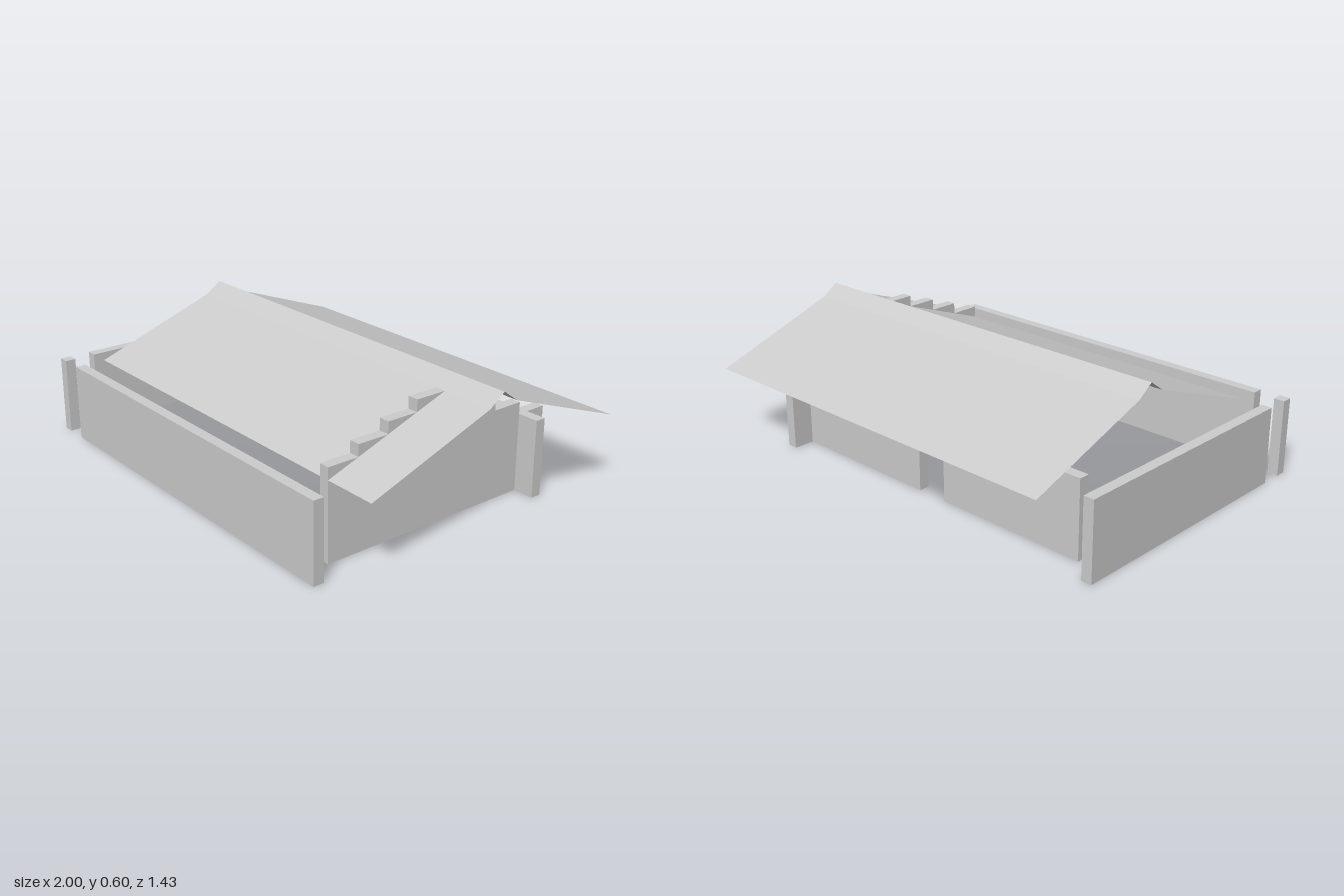
import * as THREE from 'three';

const U = 1 / 7;        // building grid
const T = U / 3;        // wall thickness
const H = 2.4 * U;      // wall height
const STEP = 0.0514;    // gable step height

export function createModel() {
  const model = new THREE.Group();
  const wallMat = new THREE.MeshStandardMaterial({ color: 0xcccccc, flatShading: true });
  const roofMat = new THREE.MeshStandardMaterial({ color: 0xcccccc, flatShading: true, side: THREE.DoubleSide });

  const add = (name, geometry, material) => {
    const mesh = new THREE.Mesh(geometry, material);
    mesh.name = name;
    model.add(mesh);
    return mesh;
  };

  // Full-height wall panel standing on the ground
  const wall = (name, x0, x1, z0, z1) =>
    add(name, new THREE.BoxGeometry(x1 - x0, H, z1 - z0), wallMat)
      .position.set((x0 + x1) / 2, H / 2, (z0 + z1) / 2);

  wall('frontWall', -6 * U, 6 * U, 5 * U - T, 5 * U);
  wall('cornerPost', -1, -1 + T, 5 * U - T, 5 * U);
  wall('sideWall', -1, -1 + T, -4 * U, 4 * U);
  // Back wall, split by a doorway
  wall('backWallLong', -6 * U, -U, -3 * U - T, -3 * U);
  wall('backWallShort', 0, 6 * U, -3 * U - T, -3 * U);

  // Stepped gable wall: shape x is -z of the model
  const gable = new THREE.Shape();
  gable.moveTo(-4 * U, 0);
  const levels = [1, 2, 3, 4, 3, 2, 1, 0];
  levels.forEach((level, i) => {
    const y = H + level * STEP;
    gable.lineTo((i - 4) * U, y);
    gable.lineTo((i - 3) * U, y);
  });
  gable.lineTo(4 * U, 0);
  gable.closePath();
  const gableGeo = new THREE.ExtrudeGeometry(gable, { depth: T, bevelEnabled: false });
  gableGeo.rotateY(Math.PI / 2);
  add('steppedGableWall', gableGeo, wallMat).position.x = 5 * U;

  // Thin roof: two slopes with a steeper ridge strip on each
  const profile = [
    [4 * U, H], [0, H + 4 * STEP], [-U / 2, H + 5 * STEP],
    [-U, H + 4 * STEP], [-5 * U, H],
  ];
  const names = ['frontRoofSlope', 'frontRidgeStrip', 'backRidgeStrip', 'backRoofSlope'];
  const x0 = -6 * U, x1 = 1;
  names.forEach((name, i) => {
    const [za, ya] = profile[i], [zb, yb] = profile[i + 1];
    const geo = new THREE.BufferGeometry();
    geo.setAttribute('position', new THREE.Float32BufferAttribute(
      [x0, ya, za, x1, ya, za, x1, yb, zb, x0, yb, zb], 3));
    geo.setIndex([0, 1, 2, 0, 2, 3]);
    geo.computeVertexNormals();
    add(name, geo, roofMat);
  });

  return model;
}
